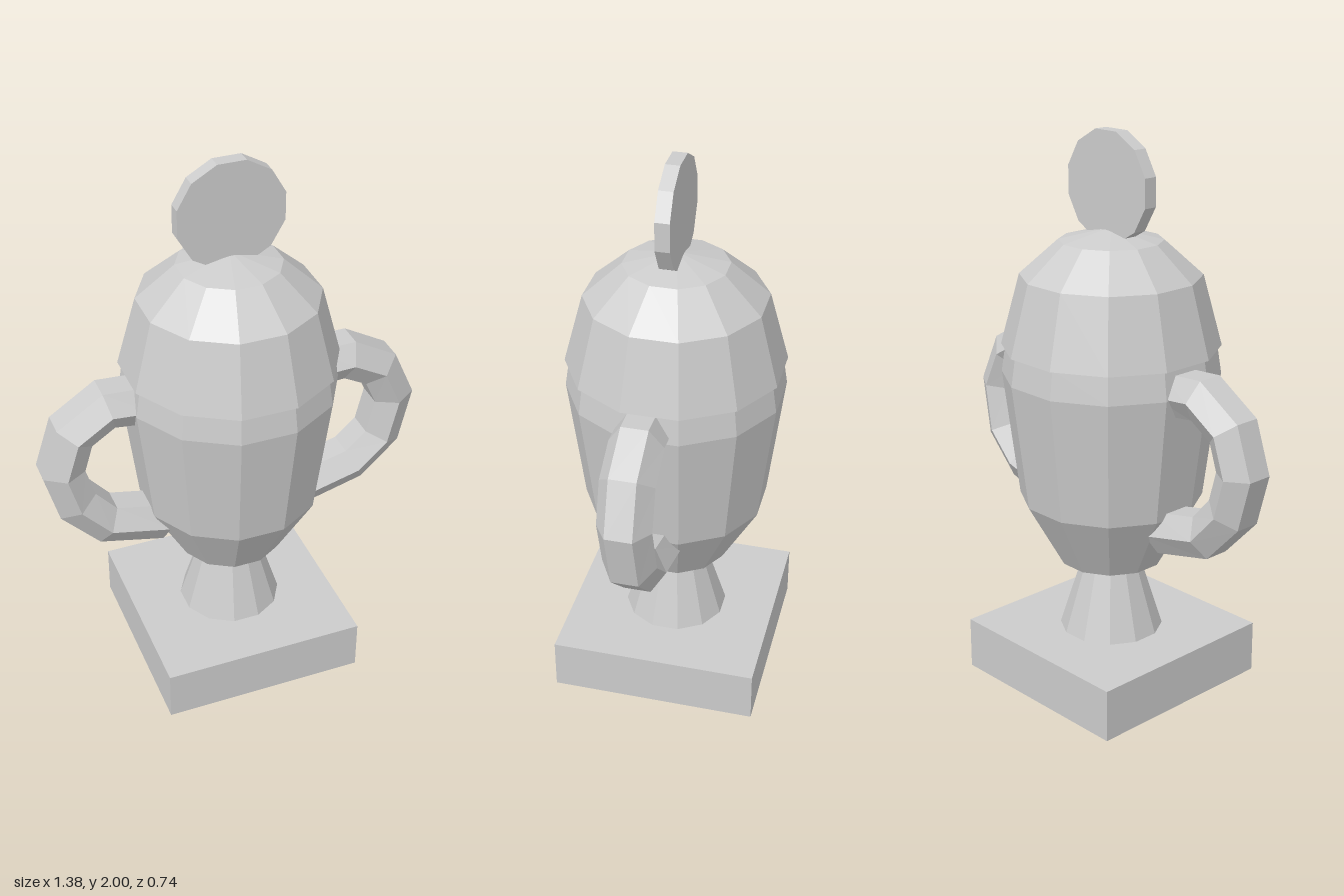
import * as THREE from 'three';

const SIDES = 12;
const TURN = Math.PI / SIDES; // flats face the axes
const WIDEN = 1 / Math.cos(TURN); // flat distance -> corner radius
const CENTER_X = 0.005;

const material = new THREE.MeshStandardMaterial({
  color: 0xcccccc, flatShading: true, side: THREE.DoubleSide,
});

function part(name, geometry, x = 0, y = 0, z = 0) {
  const mesh = new THREE.Mesh(geometry, material);
  mesh.name = name;
  mesh.position.set(x, y, z);
  return mesh;
}

// Twelve-sided turned part; profile is [flat distance, height], bottom to top
function turned(name, profile) {
  const points = profile.map(([r, y]) => new THREE.Vector2(r * WIDEN, y));
  return part(name, new THREE.LatheGeometry(points, SIDES, TURN), CENTER_X);
}

// Six-sided bar swept along a path in the x-y plane, leaning slightly in z
function handle(name, path, zTop, zBottom) {
  const N = 6, thick = 0.086, wide = 0.094;
  const pos = [], index = [];
  const last = path.length - 1;
  path.forEach(([x, y], i) => {
    const a = path[Math.max(i - 1, 0)], b = path[Math.min(i + 1, last)];
    const t = new THREE.Vector2(b[0] - a[0], b[1] - a[1]).normalize();
    const z = THREE.MathUtils.mapLinear(y, 1.18, 0.64, zTop, zBottom);
    for (let j = 0; j < N; j++) {
      const angle = ((j + 0.5) / N) * Math.PI * 2;
      const n = thick * Math.cos(angle);
      pos.push(x - t.y * n, y + t.x * n, z + wide * Math.sin(angle));
    }
  });
  for (let i = 0; i < last; i++) {
    for (let j = 0; j < N; j++) {
      const a = i * N + j, b = i * N + (j + 1) % N;
      index.push(a, b, b + N, a, b + N, a + N);
    }
  }
  // End caps
  const e = last * N;
  for (let j = 1; j < N - 1; j++) index.push(0, j + 1, j, e, e + j, e + j + 1);

  const geometry = new THREE.BufferGeometry();
  geometry.setAttribute('position', new THREE.Float32BufferAttribute(pos, 3));
  geometry.setIndex(index);
  geometry.computeVertexNormals();
  return part(name, geometry);
}

export function createModel() {
  const trophy = new THREE.Group();
  trophy.name = 'trophy';

  // Square plinth and flared stem
  trophy.add(part('plinth', new THREE.BoxGeometry(0.74, 0.19, 0.74), CENTER_X, 0.095));
  trophy.add(turned('stem', [[0.18, 0.19], [0.105, 0.44]]));

  // Cup and overhanging domed lid
  trophy.add(turned('cup', [
    [0, 0.43], [0.105, 0.43], [0.185, 0.465], [0.315, 0.705], [0.37, 1.16], [0.355, 1.262],
  ]));
  trophy.add(turned('lid', [
    [0, 1.26], [0.37, 1.26], [0.305, 1.51], [0.175, 1.63], [0, 1.672],
  ]));

  // Upright disc on the lid
  const disc = new THREE.CylinderGeometry(0.187 * WIDEN, 0.187 * WIDEN, 0.05, SIDES, 1, false, TURN);
  disc.rotateX(Math.PI / 2);
  trophy.add(part('finialDisc', disc, CENTER_X, 1.813));

  // Side handles, each from the rim down to the lower cup
  trophy.add(handle('leftHandle', [
    [0.3, 1.18], [0.43, 1.185], [0.555, 1.115], [0.617, 0.98],
    [0.582, 0.81], [0.475, 0.705], [0.265, 0.647],
  ], 0.028, 0.01));
  trophy.add(handle('rightHandle', [
    [-0.3, 1.16], [-0.445, 1.172], [-0.57, 1.09], [-0.615, 0.95],
    [-0.575, 0.805], [-0.47, 0.69], [-0.255, 0.642],
  ], 0, 0.008));

  return trophy;
}
